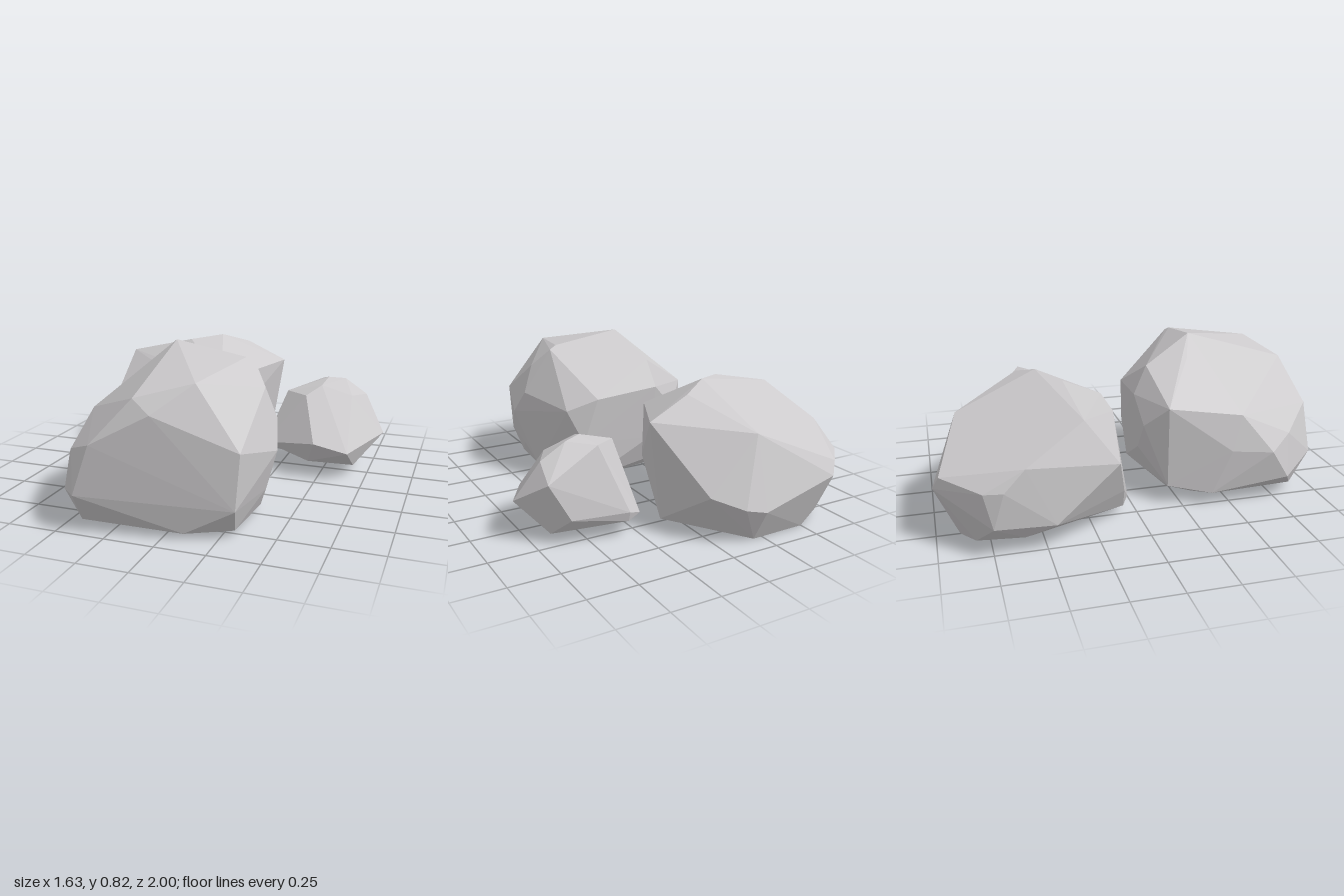
import * as THREE from 'three';
import { ConvexGeometry } from 'three/addons/geometries/ConvexGeometry.js';

const stone = new THREE.MeshStandardMaterial({ color: 0xcccacc });
stone.name = 'stone grey';

// A faceted boulder: the convex hull of a few corner points
function boulder(name, corners) {
  const points = corners.map(([x, y, z]) => new THREE.Vector3(x, y, z));
  const mesh = new THREE.Mesh(new ConvexGeometry(points), stone);
  mesh.name = name;
  return mesh;
}

export function createModel() {
  const group = new THREE.Group();
  group.name = 'rocks';

  group.add(boulder('frontBoulder', [
    // crown
    [-0.13, 0.82, 0.38], [0.24, 0.76, 0.4], [0.28, 0.74, 0.39], [0.14, 0.72, 0.82],
    [-0.24, 0.72, 0.34], [-0.2, 0.68, 0.13],
    // front face
    [-0.12, 0.655, 0.92], [-0.03, 0.59, 0.945], [-0.31, 0.44, 0.995], [-0.4, 0.19, 1],
    [0.36, 0.43, 0.86], [0.34, 0.16, 0.87],
    // left flank
    [0.36, 0.64, 0.48], [0.415, 0.49, 0.46], [0.445, 0.36, 0.56], [0.39, 0.16, 0.55],
    [0.29, 0.435, 0.16],
    // right flank
    [-0.52, 0.48, 0.545], [-0.58, 0.285, 0.7], [-0.56, 0.13, 0.8], [-0.5, 0.35, 0.82],
    [-0.55, 0.3, 0.49], [-0.45, 0.52, 0.18], [-0.45, 0.1, 0.18],
    // back
    [-0.22, 0.535, 0.06], [-0.34, 0.4, 0.08], [0.135, 0.5, 0.085], [0.21, 0.25, 0.11],
    [-0.2, 0.23, 0.09],
    // base
    [0.1, 0.03, 0.89], [0.31, 0.03, 0.78], [0.34, 0.04, 0.47], [0.16, 0.03, 0.13],
    [-0.31, 0.03, 0.22], [-0.4, 0.03, 0.33], [-0.52, 0.065, 0.4], [-0.49, 0.065, 0.76],
    [-0.42, 0.025, 0.885],
  ]));

  group.add(boulder('backBoulder', [
    // crown
    [-0.695, 0.6, -0.31], [-0.34, 0.68, -0.34], [-0.18, 0.7, -0.45], [-0.04, 0.655, -0.53],
    [-0.22, 0.52, -0.86], [0.18, 0.55, -0.545],
    // back
    [-0.61, 0.355, -0.97], [-0.58, 0.29, -1], [-0.2, 0.17, -0.98], [-0.1, 0.19, -0.955],
    [0.03, 0.24, -0.85],
    // right flank
    [-0.805, 0.44, -0.6], [-0.785, 0.33, -0.79], [-0.82, 0.34, -0.7], [-0.805, 0.16, -0.75],
    [-0.79, 0.14, -0.46], [-0.735, 0.385, -0.15],
    // front
    [-0.585, 0.17, -0.09], [-0.17, 0.435, -0.04], [-0.06, 0.5, -0.08], [-0.46, 0.08, -0.04],
    [-0.17, 0.08, -0.04], [-0.05, 0.2, -0.08],
    // base
    [-0.73, 0.065, -0.6], [-0.49, 0.04, -0.07], [-0.65, 0.035, -0.82],
    [-0.5, 0, -0.885], [-0.2, 0, -0.89], [0.1, 0.025, -0.52],
  ]));

  group.add(boulder('smallBoulder', [
    // crown
    [0.485, 0.5, -0.4], [0.575, 0.49, -0.44], [0.465, 0.47, -0.31], [0.635, 0.42, -0.32],
    [0.7, 0.41, -0.43], [0.44, 0.47, -0.51], [0.265, 0.42, -0.32], [0.39, 0.42, -0.24],
    // sides
    [0.815, 0.21, -0.36], [0.665, 0.16, -0.06], [0.48, 0.2, -0.05], [0.17, 0.14, -0.185],
    [0.245, 0.11, -0.565], [0.32, 0.14, -0.605], [0.605, 0.14, -0.56], [0.7, 0.32, -0.52],
    // base
    [0.68, 0.06, -0.18], [0.43, 0.065, -0.15], [0.67, 0.05, -0.46], [0.32, 0.09, -0.59],
  ]));

  return group;
}
